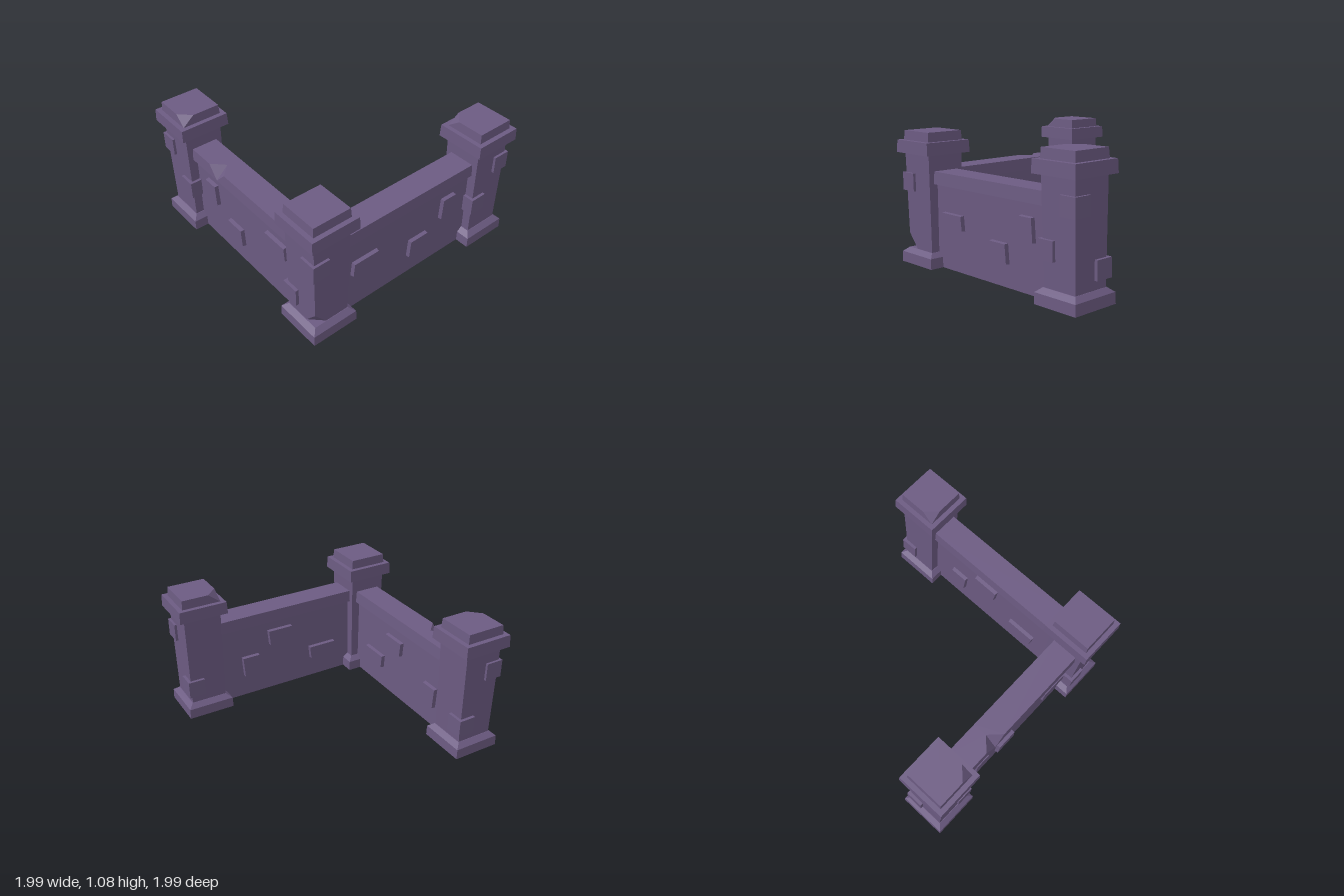
import * as THREE from 'three';
import { ConvexGeometry } from 'three/addons/geometries/ConvexGeometry.js';

const stone = new THREE.MeshStandardMaterial({ color: 0x6c5b82, side: THREE.DoubleSide });
stone.name = 'purpleStone';

const V = (x, y, z) => new THREE.Vector3(x, y, z);
const SIGNS = [[1, 1], [1, -1], [-1, -1], [-1, 1]];

function add(parent, geometry, name) {
  const mesh = new THREE.Mesh(geometry, stone);
  mesh.name = name;
  parent.add(mesh);
  return mesh;
}

// Rectangle of four corners at a height, going round from (+x,+z)
const ring = (hx, hz, y, cx = 0) => SIGNS.map(([sx, sz]) => V(cx + sx * hx, y, sz * hz));
const hull = (...lists) => new ConvexGeometry(lists.flat());

// Stack of rectangles joined by flat sides, open at the bottom, closed on top
function openStack(rings) {
  const pos = [];
  const quad = (a, b, c, d) => [a, b, c, a, c, d].forEach(p => pos.push(p.x, p.y, p.z));
  for (let i = 0; i + 1 < rings.length; i++) {
    for (let k = 0; k < 4; k++) {
      const n = (k + 1) % 4;
      quad(rings[i][k], rings[i][n], rings[i + 1][n], rings[i + 1][k]);
    }
  }
  quad(...rings[rings.length - 1]);
  const g = new THREE.BufferGeometry();
  g.setAttribute('position', new THREE.Float32BufferAttribute(pos, 3));
  g.computeVertexNormals();
  return g;
}

// Pillar; bricks: [signX, signZ, centre height], topChip: corner index, footChip: true for a broken foot
function makePillar(name, x, z, bricks, topChip, footChip) {
  const g = new THREE.Group();
  g.name = name;
  g.position.set(x, 0, z);

  add(g, openStack([ring(0.197, 0.197, 0), ring(0.195, 0.195, 0.085), ring(0.153, 0.153, 0.12)]), 'base');

  // Shaft, widening slightly upward
  let foot = ring(0.149, 0.149, 0.12);
  if (footChip) foot.splice(0, 1, V(0.15, 0.24, 0.15), V(0.05, 0.12, 0.149), V(0.149, 0.12, 0.05));
  add(g, hull(foot, ring(0.158, 0.158, 0.91)), 'shaft');

  add(g, hull(ring(0.205, 0.205, 0.9), ring(0.201, 0.201, 1.0)), 'capBand');

  // Cap block, with a broken corner where asked
  const top = ring(0.158, 0.158, 1.075);
  if (topChip !== undefined) {
    const [sx, sz] = SIGNS[topChip];
    top.splice(topChip, 1, V(sx * 0.065, 1.075, sz * 0.158), V(sx * 0.158, 1.075, sz * 0.065));
  }
  add(g, hull(ring(0.163, 0.163, 1.0), top), 'capBlock');

  // Bricks wrapped round the shaft corners
  for (const [sx, sz, y] of bricks) {
    add(g, new THREE.BoxGeometry(0.143, 0.145, 0.143), 'cornerBrick')
      .position.set(sx * 0.105, y, sz * 0.105);
  }
  return g;
}

// Tapered wall brick standing out from a wall face; flip narrows the lower edge instead
function wallBrick(w, h, flip) {
  const face = (z, inset) => [-1, 1].flatMap(sy => {
    const half = w / 2 - (sy === (flip ? -1 : 1) ? 0.012 : 0) - inset;
    return [V(-half, sy * (h / 2 - inset), z), V(half, sy * (h / 2 - inset), z)];
  });
  return hull(face(-0.01, 0), face(0.032, 0.004));
}

// Wall along x; bricks: [x, y, width, height] for the outer and inner faces
function makeWall(name, outer, inner, notched) {
  const g = new THREE.Group();
  g.name = name;
  const L = 0.66, body = 0.08;
  add(g, openStack([ring(L, body, 0), ring(L, body, 0.68)]), 'wallBody');

  // Coping, split at the notch so that each half loses one corner
  const y0 = 0.67, y1 = 0.77, h0 = 0.115, h1 = 0.108;
  if (notched) {
    const nx = -0.295;
    const leftW = (nx + L) / 2, rightW = (L - nx) / 2;
    const a = ring(leftW, h1, y1, nx - leftW), b = ring(rightW, h1, y1, nx + rightW);
    a.splice(0, 1, V(nx - 0.1, y1, h1), V(nx, y1, 0.01));
    b.splice(3, 1, V(nx + 0.1, y1, h1), V(nx, y1, 0.01));
    add(g, hull(ring(leftW, h0, y0, nx - leftW), a), 'copingLeft');
    add(g, hull(ring(rightW, h0, y0, nx + rightW), b), 'copingRight');
  } else {
    add(g, hull(ring(L, h0, y0), ring(L, h1, y1)), 'coping');
  }

  for (const [list, flip] of [[outer, false], [inner, true]]) {
    for (const [x, y, w, h] of list) {
      const brick = add(g, wallBrick(w, h, flip), flip ? 'innerBrick' : 'outerBrick');
      brick.position.set(x, y, flip ? -body : body);
      if (flip) brick.rotation.y = Math.PI;
    }
  }
  return g;
}

export function createModel() {
  const model = new THREE.Group();
  model.name = 'cornerWall';
  const C = 0.791;

  // Three pillars
  model.add(
    makePillar('endPillarFront', -C, C, [[-1, 1, 0.71], [1, 1, 0.39], [-1, -1, 0.26]], 0, false),
    makePillar('cornerPillar', C, C, [[1, 1, 0.667], [-1, 1, 0.282]], undefined, true),
    makePillar('endPillarBack', C, -C, [[1, -1, 0.71], [1, 1, 0.39], [-1, -1, 0.26]], 3, false)
  );

  // Two walls meeting at the corner pillar
  const front = makeWall('frontWall',
    [[-0.415, 0.477, 0.16, 0.185], [-0.11, 0.258, 0.205, 0.155], [0.425, 0.506, 0.262, 0.12]],
    [[-0.47, 0.28, 0.16, 0.185], [0.05, 0.5, 0.23, 0.13], [0.33, 0.255, 0.262, 0.12]], true);
  front.position.z = C;

  const side = makeWall('sideWall',
    [[-0.428, 0.4, 0.262, 0.12], [0.11, 0.258, 0.205, 0.155], [0.415, 0.477, 0.16, 0.185]],
    [[-0.35, 0.25, 0.262, 0.12], [0.07, 0.51, 0.23, 0.14], [0.36, 0.29, 0.16, 0.185]], false);
  side.position.x = C;
  side.rotation.y = Math.PI / 2;

  model.add(front, side);
  return model;
}
